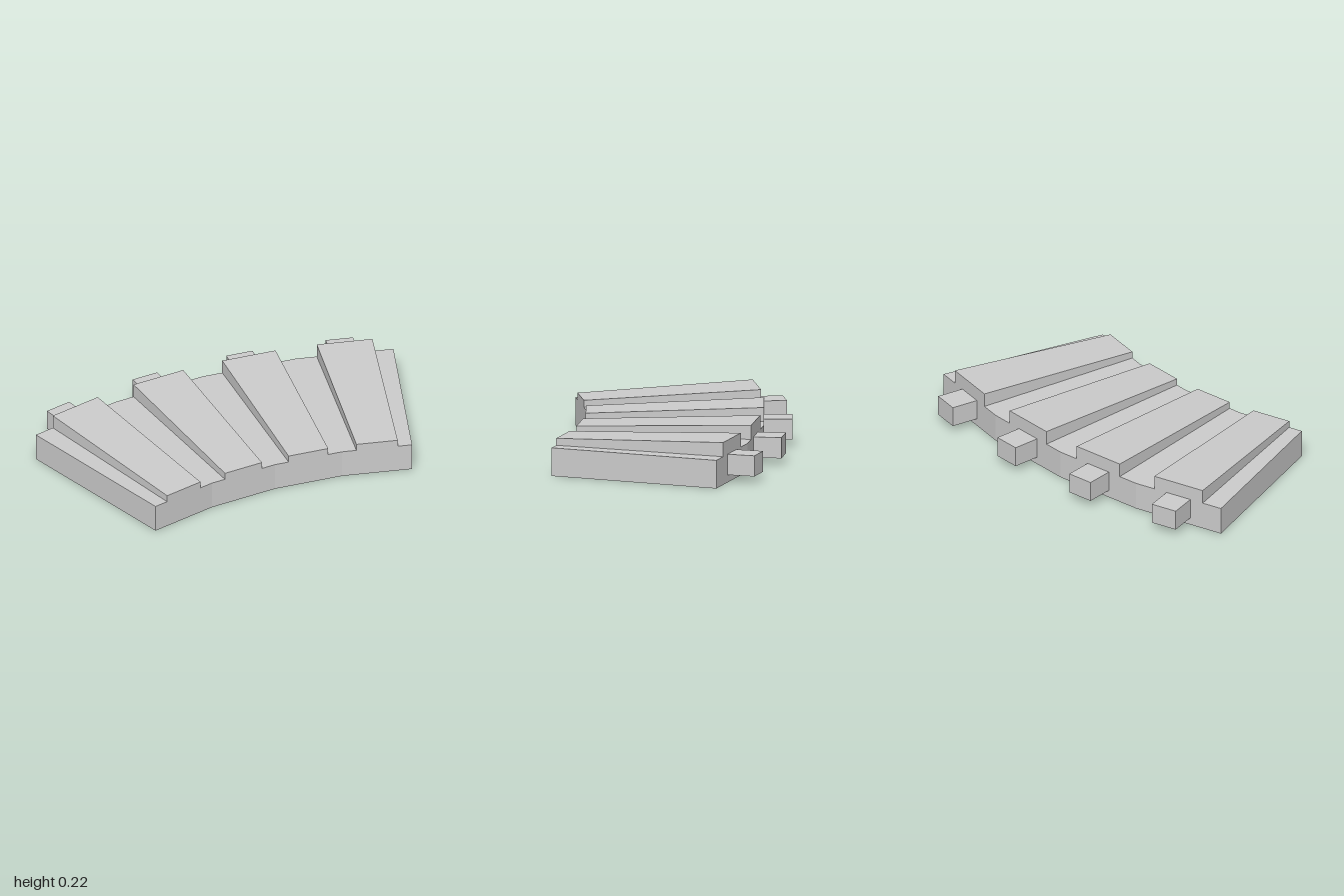
import * as THREE from 'three';

const COUNT = 4;                              // straight sections along the curve
const STEP = THREE.MathUtils.degToRad(9);     // turn per section
const OUTER = 3.305, INNER = 2.372;           // distance from pivot to back and front edges
const PIVOT = new THREE.Vector3(-0.74, 0, 2.738);
const BASE_H = 0.15;

const material = new THREE.MeshStandardMaterial({ color: 0xcccccc, flatShading: true });

function part(name, geometry) {
  const mesh = new THREE.Mesh(geometry, material);
  mesh.name = name;
  return mesh;
}

// Faceted curved slab around the pivot
function baseGeometry() {
  const points = [];
  const corner = (apothem, i) => {
    const r = apothem / Math.cos(STEP / 2), a = (i - 0.5) * STEP;
    points.push(new THREE.Vector2(r * Math.sin(a), r * Math.cos(a)));
  };
  for (let i = 0; i <= COUNT; i++) corner(INNER, i);
  for (let i = COUNT; i >= 0; i--) corner(OUTER, i);
  const geometry = new THREE.ExtrudeGeometry(new THREE.Shape(points), { depth: BASE_H, bevelEnabled: false });
  return geometry.rotateX(-Math.PI / 2);
}

// Box that is wider and taller at the back than at the front
function ridgeGeometry() {
  const geometry = new THREE.BoxGeometry(1, 1, 1);
  const p = geometry.attributes.position;
  for (let i = 0; i < p.count; i++) {
    const back = p.getZ(i) < 0;
    const half = back ? 0.148 : 0.11;
    const top = back ? 0.225 : 0.187;
    p.setXYZ(i, Math.sign(p.getX(i)) * half, p.getY(i) > 0 ? top : BASE_H, back ? -OUTER : -INNER);
  }
  geometry.computeVertexNormals();
  return geometry;
}

export function createModel() {
  const model = new THREE.Group();
  model.name = 'curvedRibbedSection';

  const base = part('base', baseGeometry());
  base.position.copy(PIVOT);
  model.add(base);

  // One tapered ridge and one back peg per section
  const ridge = ridgeGeometry();
  const peg = new THREE.BoxGeometry(0.146, 0.11, 0.148).translate(0, 0.095, -OUTER - 0.074);
  for (let i = 0; i < COUNT; i++) {
    const section = new THREE.Group();
    section.name = 'section' + (i + 1);
    section.position.copy(PIVOT);
    section.rotation.y = -i * STEP;
    section.add(part('ridge', ridge), part('peg', peg));
    model.add(section);
  }
  return model;
}
